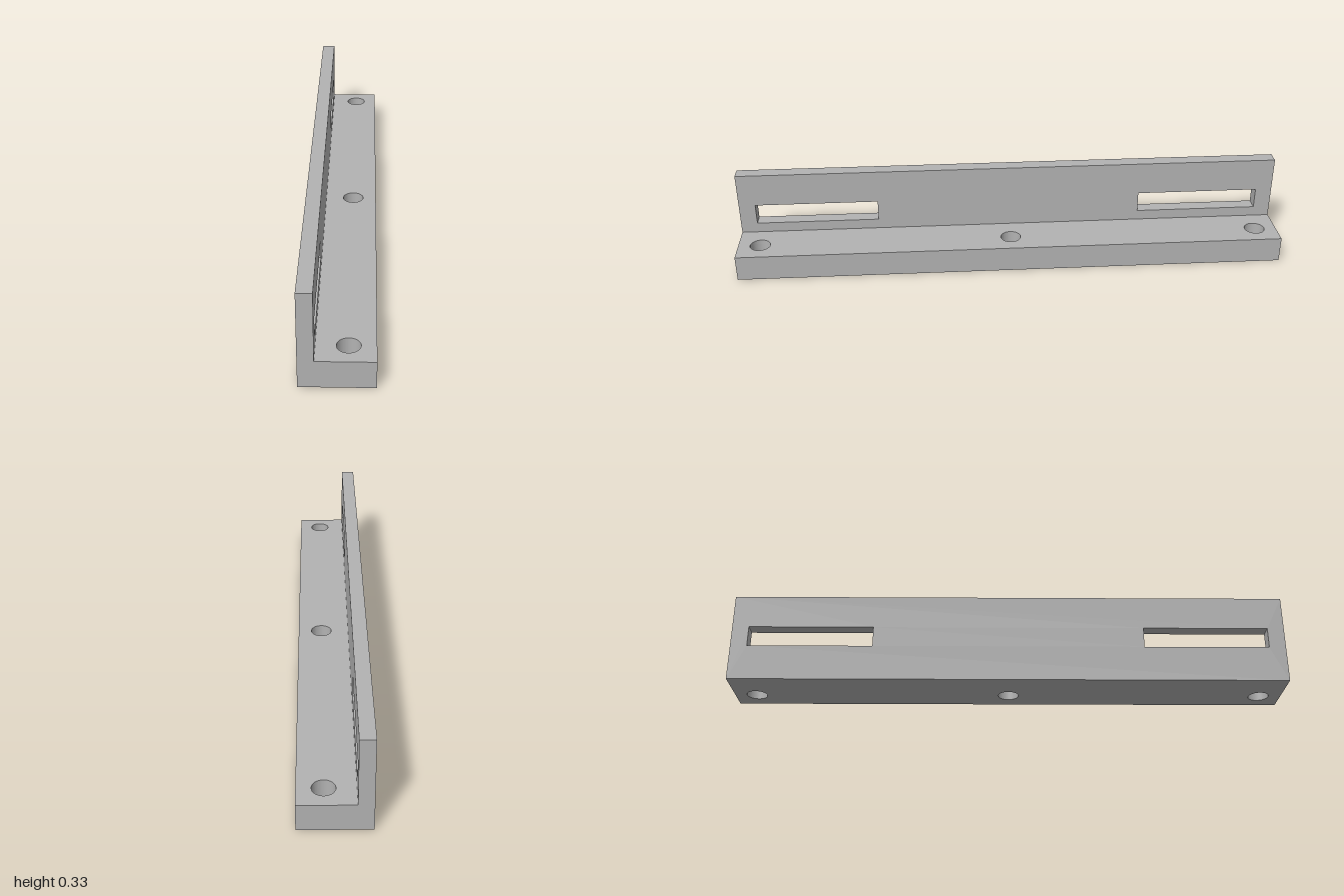
import * as THREE from 'three';

const HALF_WIDTH = 0.117, INNER = -0.067, HEIGHT = 0.327, BASE = 0.093;

// Closed rectangle, usable as an outline or a hole
function rect(path, x0, y0, x1, y1) {
  path.moveTo(x0, y0);
  path.lineTo(x1, y0);
  path.lineTo(x1, y1);
  path.lineTo(x0, y1);
  path.closePath();
  return path;
}

function extrude(shape, depth) {
  return new THREE.ExtrudeGeometry(shape, { depth, bevelEnabled: false, curveSegments: 32 });
}

export function createModel() {
  const group = new THREE.Group();
  group.name = 'slottedAngleBracket';
  const metal = new THREE.MeshStandardMaterial({ color: 0xb2b2b2 });
  metal.name = 'grey metal';

  // Upright wall with a long slot near each end, drawn in z and y
  const wallShape = rect(new THREE.Shape(), -1, 0, 1, HEIGHT);
  for (const [a, b] of [[-0.94, -0.49], [0.49, 0.94]]) {
    wallShape.holes.push(rect(new THREE.Path(), a, 0.13, b, 0.205));
  }
  const wallGeometry = extrude(wallShape, INNER + HALF_WIDTH);
  wallGeometry.rotateY(Math.PI / 2).translate(-HALF_WIDTH, 0, 0);
  const wall = new THREE.Mesh(wallGeometry, metal);
  wall.name = 'slottedWall';

  // Thick base flange with three round bolt holes, drawn in x and z
  const baseShape = rect(new THREE.Shape(), INNER, -1, HALF_WIDTH, 1);
  for (const z of [-0.92, 0, 0.92]) {
    baseShape.holes.push(new THREE.Path().absarc(0.033, z, 0.037, 0, Math.PI * 2, true));
  }
  const baseGeometry = extrude(baseShape, BASE);
  baseGeometry.rotateX(-Math.PI / 2);
  const base = new THREE.Mesh(baseGeometry, metal);
  base.name = 'baseFlange';

  group.add(wall, base);
  return group;
}
